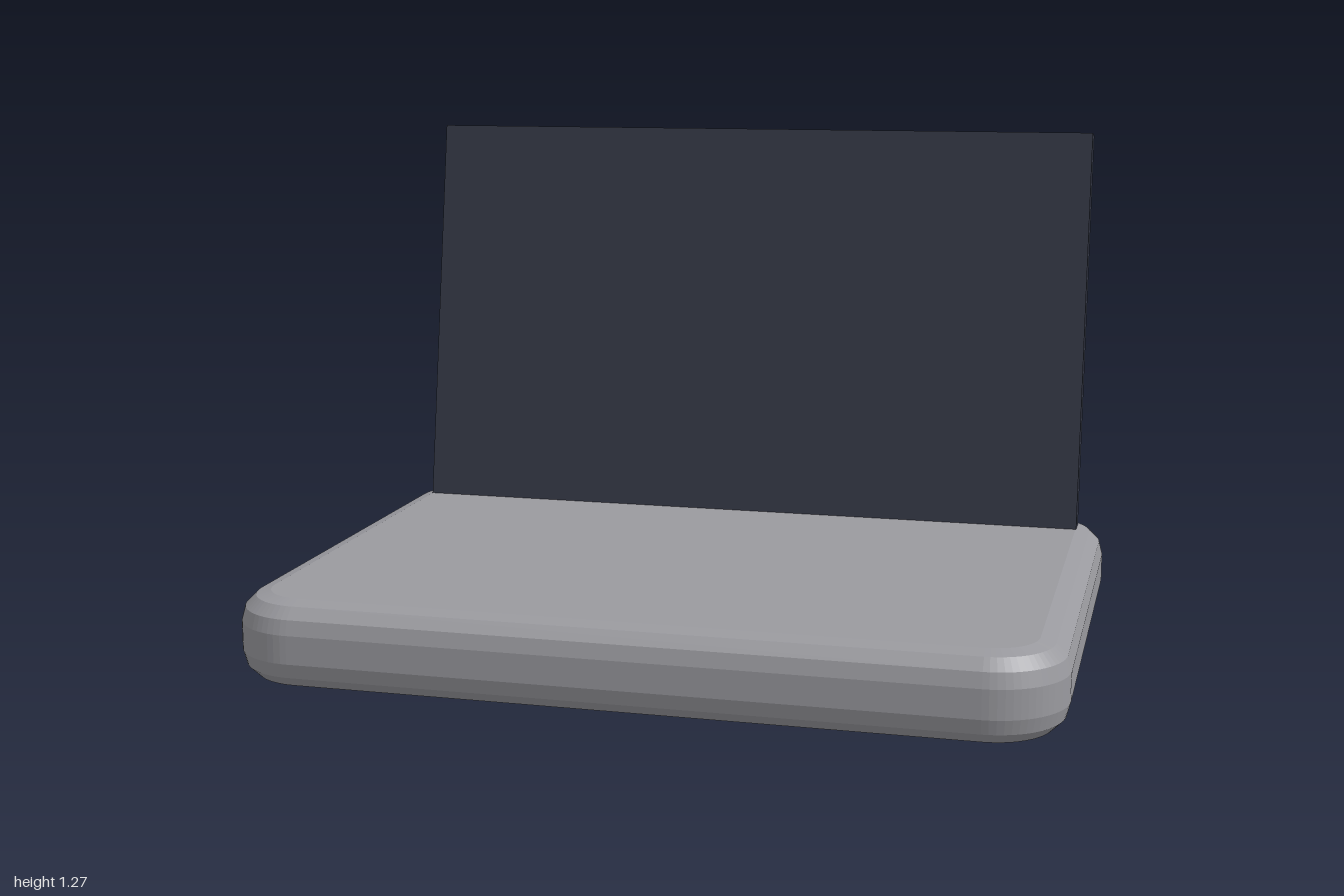
import * as THREE from 'three';

// Rectangle with rounded corners, centred on the origin
function roundedRect(w, d, r) {
  const x = w / 2 - r, y = d / 2 - r;
  const s = new THREE.Shape();
  s.absarc(x, y, r, 0, Math.PI / 2);
  s.absarc(-x, y, r, Math.PI / 2, Math.PI);
  s.absarc(-x, -y, r, Math.PI, Math.PI * 1.5);
  s.absarc(x, -y, r, Math.PI * 1.5, Math.PI * 2);
  s.closePath();
  return s;
}

export function createModel() {
  const group = new THREE.Group();
  const width = 2, depth = 1.44, height = 0.214, bevel = 0.072;

  // Thick base slab with rounded corners and bevelled rims
  const baseGeometry = new THREE.ExtrudeGeometry(
    roundedRect(width - 2 * bevel, depth - 2 * bevel, 0.11),
    {
      depth: height - 2 * bevel, bevelEnabled: true, bevelSize: bevel,
      bevelThickness: bevel, bevelSegments: 3, curveSegments: 8,
    }
  );
  baseGeometry.rotateX(-Math.PI / 2);
  const base = new THREE.Mesh(baseGeometry, new THREE.MeshStandardMaterial({ color: 0x9a9a9f }));
  base.name = 'base';
  base.position.set(0, bevel, 0.016);
  group.add(base);

  // Flat screen panel leaning back, its lower edge sunk into the base
  const screen = new THREE.Mesh(
    new THREE.BoxGeometry(1.86, 1.1, 0.064),
    new THREE.MeshStandardMaterial({ color: 0x333745 })
  );
  screen.name = 'screen';
  screen.position.set(0, 0.727, -0.616);
  screen.rotation.x = -0.164;
  group.add(screen);

  return group;
}
